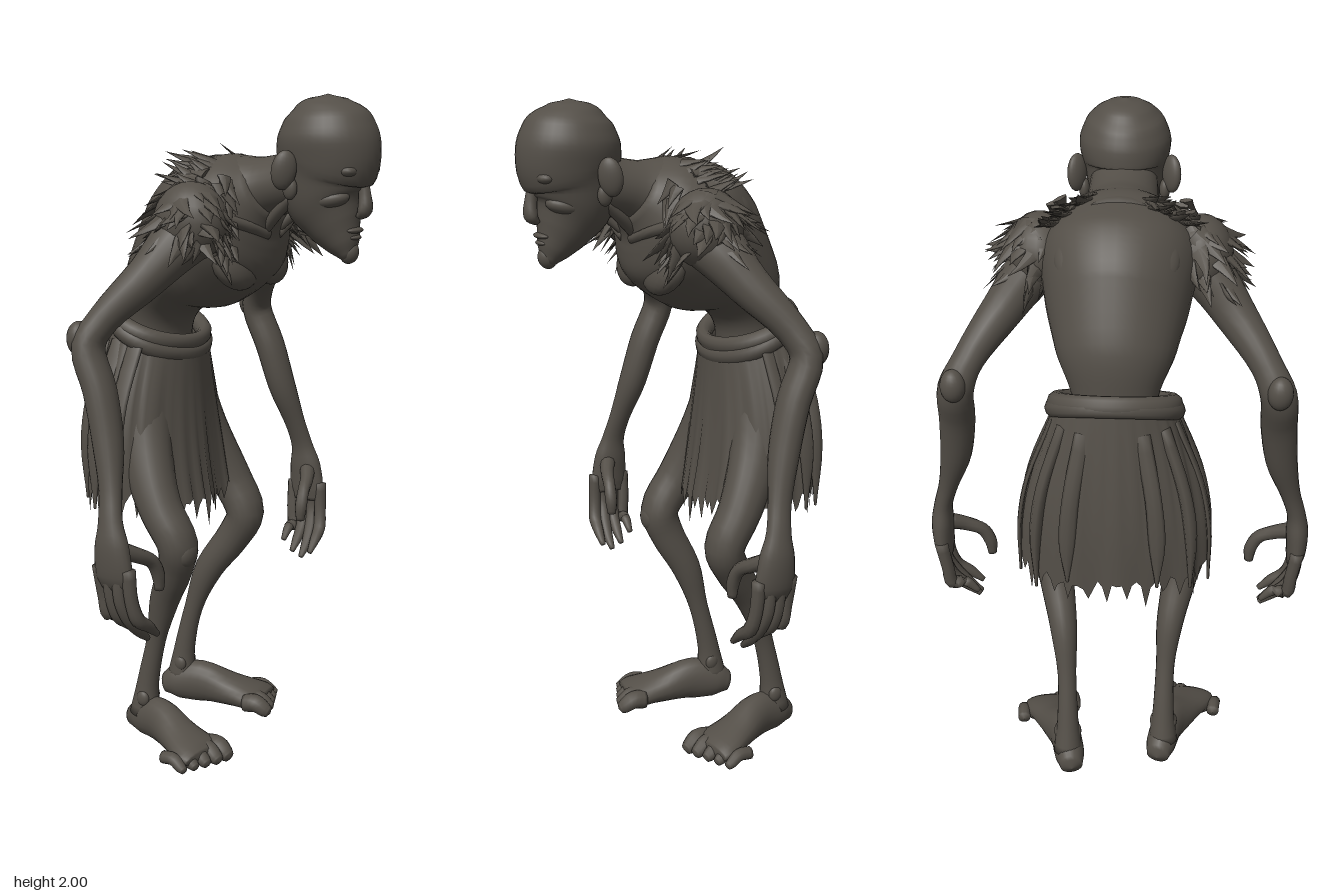
import * as THREE from 'three';
import { mergeGeometries } from 'three/addons/utils/BufferGeometryUtils.js';

const hide = new THREE.MeshStandardMaterial({ color: 0x544f48, side: THREE.DoubleSide });
hide.name = 'weathered brown';

let seed = 7;
const rnd = () => (seed = (seed * 16807) % 2147483647) / 2147483647;

// Smooth body through sections [x, y, z, halfWidth (sideways), halfDepth]
function loft(sections, sides = 20, steps = 4) {
  const curve = new THREE.CatmullRomCurve3(sections.map(s => new THREE.Vector3(s[0], s[1], s[2])), false, 'centripetal');
  const radii = new THREE.CatmullRomCurve3(sections.map(s => new THREE.Vector3(s[3], s[4] ?? s[3], 0)), false, 'catmullrom', 0.4);
  const rows = (sections.length - 1) * steps, pos = [], idx = [];
  for (let i = -1; i <= rows + 1; i++) {
    const k = Math.min(Math.max(i / rows, 0), 1);
    const c = curve.getPoint(k), r = radii.getPoint(k), t = curve.getTangent(k);
    const u = new THREE.Vector3(0, 0, 1).addScaledVector(t, -t.z).normalize();
    const v = t.clone().cross(u);
    const cap = i < 0 || i > rows ? 0.001 : 1;
    // pushing the closing points out rounds the ends
    if (cap < 1) c.addScaledVector(t, Math.sign(i) * Math.min(r.x, r.y) * 0.3);
    for (let j = 0; j < sides; j++) {
      const a = j / sides * Math.PI * 2;
      const p = c.clone().addScaledVector(u, Math.cos(a) * r.x * cap).addScaledVector(v, Math.sin(a) * r.y * cap);
      pos.push(p.x, p.y, p.z);
    }
  }
  for (let i = 0; i < rows + 2; i++) for (let j = 0; j < sides; j++) {
    const a = i * sides + j, b = i * sides + (j + 1) % sides, c = a + sides, d = b + sides;
    idx.push(a, b, c, b, d, c);
  }
  return surface(pos, idx);
}

function surface(pos, idx) {
  const g = new THREE.BufferGeometry();
  g.setAttribute('position', new THREE.Float32BufferAttribute(pos, 3));
  g.setIndex(idx);
  g.computeVertexNormals();
  return g;
}

// Ellipsoid, optionally rotated
function blob(x, y, z, rx, ry, rz, rot = [0, 0, 0]) {
  const g = new THREE.SphereGeometry(1, 20, 14).scale(rx, ry, rz);
  g.rotateX(rot[0]).rotateY(rot[1]).rotateZ(rot[2]);
  return g.translate(x, y, z);
}

// Flat leaf-like tuft from a root along a direction, lying across the given normal
function tuft(root, dir, normal, length, width) {
  const g = new THREE.ConeGeometry(width, length, 6, 3).scale(1, 1, 0.3).translate(0, length / 2 - 0.02, 0);
  const p = g.attributes.position, bend = (rnd() - 0.5) * 5;
  for (let i = 0; i < p.count; i++) p.setX(i, p.getX(i) + bend * p.getY(i) ** 2);
  const y = dir.clone().normalize(), x = y.clone().cross(normal).normalize(), z = x.clone().cross(y);
  g.applyMatrix4(new THREE.Matrix4().makeBasis(x, y, z).setPosition(root));
  g.computeVertexNormals();
  return g;
}

// Wrapped cloth with a torn hem, flaring forward over the thighs
function skirtGeometry() {
  const n = 120, rows = 14, pos = [], idx = [];
  for (let j = 0; j < n; j++) {
    const a = j / n * Math.PI * 2, ca = Math.cos(a), sa = Math.sin(a);
    const frontDip = Math.max(0, ca) ** 8 * 0.05;
    const hem = 0.84 - frontDip - (j % 4 === 1 ? 0.05 + rnd() * 0.05 : rnd() * 0.045);
    const top = 1.315 - ca * 0.06;
    for (let i = 0; i <= rows; i++) {
      const k = i / rows, y = top + (hem - top) * k, f = Math.sin(Math.min(1, k * 1.15) * Math.PI / 2);
      const fold = 1 + k * (0.025 * Math.sin(a * 9) + 0.02 * Math.sin(a * 14 + 2));
      const reach = 0.135 + (ca > 0 ? 0.025 * f + 0.045 * k * k : 0.025 * f);
      pos.push(-0.265 - 0.025 * f + ca * reach * fold, y, sa * (0.165 + 0.105 * f) * fold);
    }
  }
  for (let j = 0; j < n; j++) for (let i = 0; i < rows; i++) {
    const a = j * (rows + 1) + i, b = ((j + 1) % n) * (rows + 1) + i;
    idx.push(a, a + 1, b, b, a + 1, b + 1);
  }
  return surface(pos, idx);
}

export function createModel() {
  seed = 7;
  const model = new THREE.Group();
  const add = (name, ...geos) => {
    const m = new THREE.Mesh(geos.length > 1 ? mergeGeometries(geos) : geos[0], hide);
    m.name = name;
    model.add(m);
  };

  // Hunched trunk and neck
  add('torso', loft([[-0.26, 1.15, 0, 0.11, 0.085], [-0.262, 1.33, 0, 0.12, 0.09], [-0.22, 1.45, 0, 0.168, 0.138],
    [-0.115, 1.555, 0, 0.205, 0.205], [-0.02, 1.64, 0, 0.225, 0.212], [0.055, 1.7, 0, 0.19, 0.155], [0.12, 1.735, 0, 0.11, 0.09]], 36, 6));
  add('neck', loft([[-0.04, 1.7, 0, 0.16, 0.13], [0.05, 1.72, 0, 0.13, 0.112], [0.13, 1.74, 0, 0.105, 0.088],
    [0.22, 1.765, 0, 0.1, 0.085], [0.29, 1.81, 0, 0.09, 0.09]], 28));

  // Head
  add('head', loft([[0.385, 1.55, 0, 0.024, 0.02], [0.365, 1.59, 0, 0.05, 0.052], [0.335, 1.645, 0, 0.076, 0.085],
    [0.306, 1.71, 0, 0.103, 0.118], [0.303, 1.765, 0, 0.113, 0.13], [0.314, 1.815, 0, 0.126, 0.15],
    [0.314, 1.88, 0, 0.134, 0.148], [0.312, 1.935, 0, 0.115, 0.126], [0.31, 1.97, 0, 0.083, 0.09],
    [0.31, 1.988, 0, 0.052, 0.056], [0.31, 1.995, 0, 0.018, 0.02]], 36));
  add('nose', loft([[0.42, 1.785, 0, 0.014, 0.014], [0.43, 1.73, 0, 0.017, 0.018], [0.432, 1.685, 0, 0.026, 0.02], [0.415, 1.665, 0, 0.018, 0.01]], 14));
  add('lips', blob(0.398, 1.628, 0, 0.024, 0.01, 0.038), blob(0.396, 1.608, 0, 0.022, 0.009, 0.03));
  add('chin', blob(0.385, 1.565, 0, 0.028, 0.033, 0.026, [0, 0, -0.3]));
  for (const s of [1, -1]) {
    add('brow', blob(0.4, 1.797, s * 0.05, 0.035, 0.022, 0.05, [s * 0.1, s * 0.5, 0]));
    add('eye', blob(0.39, 1.757, s * 0.046, 0.024, 0.02, 0.026));
    add('cheekbone', blob(0.36, 1.715, s * 0.062, 0.05, 0.024, 0.03, [0, s * 0.4, 0.2]));
    add('ear', blob(0.25, 1.795, s * 0.138, 0.036, 0.055, 0.02, [0, s * 0.7, -0.15]), blob(0.258, 1.745, s * 0.118, 0.022, 0.032, 0.016));

    // Neck cords, collar bones, shoulder blades and chest
    add('neckCord', loft([[0.24, 1.72, s * 0.07, 0.016], [0.18, 1.67, s * 0.055, 0.018], [0.12, 1.61, s * 0.03, 0.014]], 10));
    add('collarBone', loft([[0.135, 1.605, s * 0.03, 0.015], [0.12, 1.635, s * 0.12, 0.016], [0.06, 1.67, s * 0.22, 0.018]], 10));
    add('shoulderBlade', blob(-0.155, 1.7, s * 0.115, 0.085, 0.035, 0.06, [s * 0.3, 0, 0.8]));
    add('chestMuscle', blob(0.055, 1.53, s * 0.085, 0.05, 0.09, 0.1, [0, 0, 0.45]));
  }

  // Cloth and rope belt
  add('skirt', skirtGeometry());
  const ring = (tilt, y, grow) => new THREE.TorusGeometry(1, 0.17, 10, 48).rotateX(Math.PI / 2)
    .scale(0.132 + grow, 0.17, 0.162 + grow).rotateZ(tilt).translate(-0.27, y, 0);
  add('belt', ring(-0.4, 1.315, 0), ring(-0.5, 1.295, 0.006));
  const rags = [];
  for (const s of [1, -1]) for (let i = 0; i < 4; i++) {
    const a = 1.35 + i * 0.44, c = Math.cos(a), z = s * Math.sin(a), low = 0.77 + rnd() * 0.08, w = 0.016 + rnd() * 0.012;
    const wide = [w * Math.abs(c) + 0.002, w * Math.abs(z) + 0.002];
    rags.push(loft([[-0.268 + c * 0.14, 1.28, z * 0.175, ...wide], [-0.285 + c * 0.162, 1.1, z * 0.25, ...wide],
      [-0.29 + c * 0.166, 0.96, z * 0.277, ...wide], [-0.29 + c * 0.17, low, z * 0.28, 0.004]], 8));
  }
  add('hangingRags', ...rags);

  for (const s of [1, -1]) {
    const side = pts => pts.map(([x, y, z, ...r]) => [x, y, z * s, ...r]);

    // Arms, crooked at the elbow
    add('arm', loft(side([[0.01, 1.65, 0.17, 0.09, 0.1], [-0.02, 1.6, 0.245, 0.075, 0.085], [-0.08, 1.5, 0.33, 0.06, 0.062],
      [-0.165, 1.385, 0.42, 0.046, 0.046], [-0.195, 1.31, 0.455, 0.052, 0.046], [-0.15, 1.19, 0.465, 0.053, 0.046],
      [-0.112, 1.05, 0.482, 0.047, 0.044], [-0.08, 0.92, 0.517, 0.03, 0.035], [-0.065, 0.84, 0.54, 0.028, 0.038],
      [-0.056, 0.77, 0.548, 0.034, 0.055], [-0.05, 0.69, 0.548, 0.03, 0.062], [-0.05, 0.65, 0.542, 0.02, 0.052]])));
    add('elbow', blob(-0.225, 1.33, s * 0.458, 0.035, 0.05, 0.037));
    for (let i = 0; i < 4; i++) {
      const x = -0.1 + i * 0.034, d = [0.05, 0.015, 0, 0.02][i];
      add('finger', loft(side([[x, 0.71, 0.55, 0.021], [x + 0.004, 0.62, 0.55 - d * 0.3, 0.02], [x + 0.012, 0.56, 0.525, 0.021],
        [x + 0.018, 0.51 + d, 0.485, 0.017], [x + 0.02, 0.475 + d, 0.445, 0.009]]), 10));
    }
    add('thumb', loft(side([[-0.04, 0.76, 0.535, 0.026], [-0.015, 0.735, 0.485, 0.022], [0, 0.705, 0.435, 0.02],
      [0.005, 0.66, 0.412, 0.02], [0.005, 0.615, 0.408, 0.014]]), 10));

    // Strongly bent legs, one set slightly behind the other
    const step = pts => side(pts).map(([x, y, ...r]) => [x + s * 0.032 * Math.min(1, Math.max(0, (0.75 - y) * 3)), y, ...r]);
    add('leg', loft(step([[-0.26, 1.15, 0.09, 0.1, 0.09], [-0.22, 0.96, 0.155, 0.078, 0.085], [-0.138, 0.79, 0.2, 0.068, 0.066],
      [-0.078, 0.68, 0.203, 0.066, 0.06], [-0.105, 0.6, 0.19, 0.053, 0.055], [-0.175, 0.48, 0.165, 0.042, 0.047],
      [-0.222, 0.34, 0.153, 0.029, 0.031], [-0.258, 0.19, 0.15, 0.033, 0.035], [-0.272, 0.08, 0.15, 0.045, 0.05]])));
    add('kneecap', blob(-0.05 + s * 0.012, 0.66, s * 0.205, 0.03, 0.045, 0.042));
    add('ankleBone', ...[0.122, 0.18].map(z => blob(-0.258 + s * 0.032, 0.14, s * z, 0.022, 0.026, 0.014)));
    add('foot', loft(step([[-0.325, 0.052, 0.135, 0.035, 0.035], [-0.28, 0.065, 0.145, 0.047, 0.06], [-0.2, 0.075, 0.165, 0.05, 0.07],
      [-0.1, 0.055, 0.2, 0.068, 0.05], [-0.02, 0.04, 0.225, 0.088, 0.036], [0.01, 0.032, 0.23, 0.082, 0.026]])));
    for (let i = 0; i < 5; i++) {
      const z = 0.16 + i * 0.038, r = 0.03 - i * 0.0025, x = 0.05 - i * 0.017 - (i === 0 ? 0.005 : 0);
      add('toe', loft(step([[x - 0.07, 0.038, z, r], [x - 0.03, 0.042, z + 0.004, r], [x, 0.025, z + 0.01, r * 0.85],
        [x + 0.015, 0.018, z + 0.013, r * 0.6]]), 10));
    }

    // Shaggy shoulder pelt: layered leaves hanging outward and down
    const tufts = [], mid = new THREE.Vector3(0, 1.65, 0.225 * s);
    for (let i = 0; i < 80; i++) {
      const a = rnd() * Math.PI * 2, h = rnd() * 1.5 - 0.6, q = Math.sqrt(1 - h * h);
      const out = new THREE.Vector3(Math.cos(a) * q, h, Math.sin(a) * q);
      if (out.z * s < -0.4) continue;
      const root = out.clone().multiply(new THREE.Vector3(0.1, 0.105, 0.085)).add(mid);
      const dir = out.clone().multiplyScalar(0.35).add(new THREE.Vector3(out.x * 0.4 + (rnd() - 0.5) * 0.8, -0.45 - 0.2 * h, s * (0.15 + 0.45 * rnd())));
      tufts.push(tuft(root, dir, out, 0.08 + rnd() * 0.06, 0.024 + rnd() * 0.016));
    }
    // Leaves over the upper back and down the chest edge
    for (let i = 0; i < 20; i++) {
      const k = i / 19;
      tufts.push(tuft(new THREE.Vector3(-0.08 + 0.08 * rnd(), 1.82 - 0.07 * k, s * (0.09 + 0.12 * k)),
        new THREE.Vector3(-1, 0.1 + 0.6 * rnd(), s * (rnd() - 0.1)), new THREE.Vector3(0, 1, s * 0.5), 0.06 + rnd() * 0.05, 0.024));
      tufts.push(tuft(new THREE.Vector3(0.07 + 0.03 * rnd(), 1.76 - 0.22 * k, s * (0.15 + 0.045 * rnd())),
        new THREE.Vector3(0.6, -0.5 - rnd(), s * (rnd() - 0.3)), new THREE.Vector3(1, 0.4, s * 0.5), 0.06 + rnd() * 0.04, 0.024));
    }
    add('shoulderPelt', blob(mid.x, mid.y, mid.z, 0.112, 0.112, 0.095), ...tufts);
  }
  return model;
}
